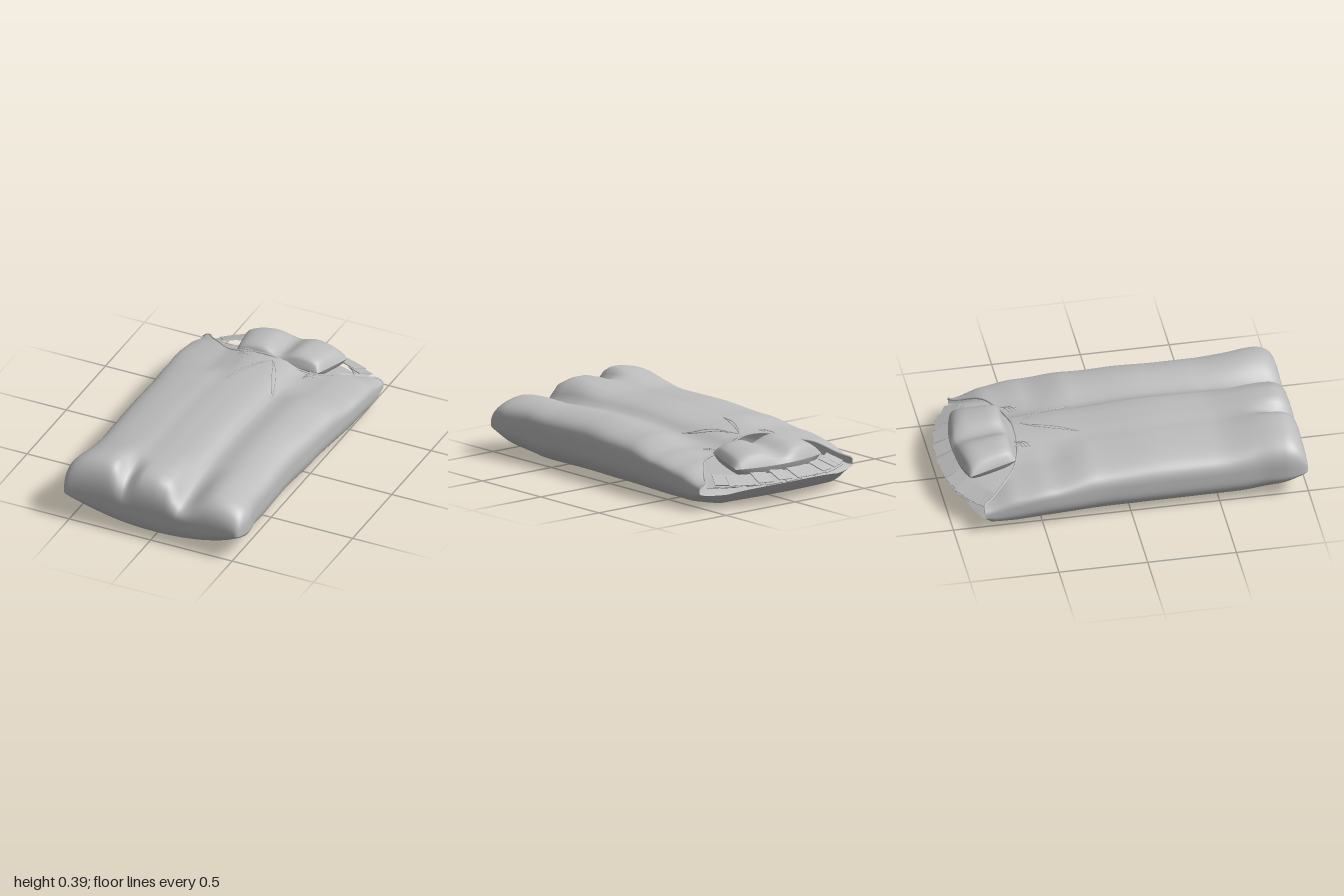
import * as THREE from 'three';
import { mergeVertices } from 'three/addons/utils/BufferGeometryUtils.js';

const { lerp, clamp, smoothstep } = THREE.MathUtils;
const fabric = new THREE.MeshStandardMaterial({ color: 0xbcbcbc, side: THREE.DoubleSide });
fabric.name = 'grey fabric';

// Smooth interpolation through [position, value] pairs in rising order
function along(points, p) {
  if (p <= points[0][0]) return points[0][1];
  for (let i = 1; i < points.length; i++) {
    const [a, va] = points[i - 1], [b, vb] = points[i];
    if (p <= b) return lerp(va, vb, smoothstep(p, a, b));
  }
  return points[points.length - 1][1];
}

// Smooth sheet of nu x nv quads from f(u, v) -> [x, y, z]
function sheet(nu, nv, f) {
  const pos = [], index = [];
  for (let j = 0; j <= nv; j++) for (let i = 0; i <= nu; i++) pos.push(...f(i / nu, j / nv));
  for (let j = 0; j < nv; j++) for (let i = 0; i < nu; i++) {
    const a = j * (nu + 1) + i, d = a + nu + 1;
    index.push(a, a + 1, d, a + 1, d + 1, d);
  }
  let g = new THREE.BufferGeometry();
  g.setAttribute('position', new THREE.Float32BufferAttribute(pos, 3));
  g.setIndex(index);
  g = mergeVertices(g, 1e-5);
  g.computeVertexNormals();
  return g;
}

// Half widths, side seam height and lobe heights along z
const LEFT = [[-0.82, 0.55], [-0.5, 0.565], [0, 0.53], [0.3, 0.512], [0.7, 0.52], [0.9, 0.55]];
const RIGHT = [[-0.82, 0.56], [-0.55, 0.57], [-0.1, 0.545], [0.7, 0.54], [0.9, 0.56]];
const SEAM = [[-0.82, 0.1], [-0.45, 0.16]];
const OUTER = [[-0.83, 0.18], [-0.65, 0.245], [-0.45, 0.265], [-0.2, 0.315], [0.2, 0.338], [0.5, 0.335], [0.85, 0.4]];
const CENTRE = [[-0.6, 0.3], [-0.3, 0.315], [0.2, 0.34], [0.5, 0.335], [0.85, 0.37]];

// Quilted top: three puffy lobes parted by two lengthwise seams
function topHeight(x, z) {
  const foot = smoothstep(z, 0.45, 0.95);
  const groove = (at, w) => Math.exp(-(((x - at) / w) ** 2));
  const side = smoothstep(Math.abs(x), 0.12, 0.32);
  let y = lerp(along(CENTRE, z), along(OUTER, z), side);
  if (x > 0) y -= 0.055 * side * foot;
  y -= groove(0.16, x > 0.16 ? 0.12 : 0.06) * lerp(0.045, 0.125, foot);
  y -= groove(-0.18, 0.045) * lerp(0.006, 0.09, smoothstep(z, 0.7, 0.97));
  return y;
}

// Shell point: a runs round the section, v from the open head end to the foot
function shellPoint(a, v) {
  const c = Math.cos(a), s = Math.sin(a);
  const cx = Math.sign(c) * Math.abs(c) ** 0.65;
  const r = Math.abs(cx);
  const head = s >= 0 ? -0.57 - 0.26 * Math.min(1, r / 0.92) ** 3.1 : -0.95 + 0.12 * r * r;
  const t = Math.max(0, (v - 0.7) / 0.3) * Math.PI / 2;
  const k = v >= 1 ? 0 : Math.cos(t) ** 0.75;
  const z = v < 0.7 ? lerp(head, 0.86, v / 0.7) : 0.86 + 0.135 * Math.sin(t) ** 0.85;
  const x = cx * along(c > 0 ? LEFT : RIGHT, z) * (1 - 0.08 * (1 - k));
  const mid = along(SEAM, z);
  if (s >= 0) return [x, mid + (topHeight(x, z) - mid) * s ** 0.52 * k, z];
  // Underside: flat in the middle, rising at the flanks, the foot corners and the head
  const sy = (-s) ** 0.75;
  const headLift = 0.045 * clamp((-0.65 - z) / 0.3, 0, 1) + 0.06 * (1 - smoothstep(z - head, 0, 0.06));
  const footLift = k * (0.09 * r * r * smoothstep(z, 0.6, 0.98) + 0.03 * smoothstep(z, 0.84, 0.96));
  const y = Math.max(0, mid - mid * 1.18 * sy * k) + (headLift + footLift) * sy;
  return [x, Math.min(y, Math.max(mid, 0.11 * sy)), z];
}

function tube(points, radius, segments = 24) {
  const curve = new THREE.CatmullRomCurve3(points.map(p => new THREE.Vector3(...p)));
  return new THREE.TubeGeometry(curve, segments, radius, 6);
}

export function createModel() {
  const model = new THREE.Group();
  model.name = 'sleepingBag';
  const add = (name, geometry) => {
    const m = new THREE.Mesh(geometry, fabric);
    m.name = name;
    model.add(m);
  };

  // Padded outer shell, open at the head
  add('shell', sheet(128, 90, (u, v) => shellPoint(u * Math.PI * 2, v)));

  // Inner mat showing in the opening, joined to the lower head edge
  add('innerMat', sheet(48, 20, (u, v) => {
    const [x, y, z] = shellPoint(Math.PI * (1 + u), 0);
    const rest = 0.14 - 0.05 * Math.abs(2 * u - 1) ** 6;
    return [x * lerp(0.88, 1, v * v), lerp(rest, y, v ** 7), lerp(-0.3, z, v)];
  }));

  // Rolled hem of the opening
  const hem = [];
  for (let i = 1; i < 24; i++) hem.push(shellPoint(Math.PI * i / 24, 0));
  add('openingHem', tube(hem, 0.006, 60));

  // Frill of overlapping fabric tabs round the head
  const frill = new THREE.Group();
  frill.name = 'frill';
  model.add(frill);
  const tabs = 19;
  for (let i = 0; i < tabs; i++) {
    const a = lerp(-1.35, 1.35, i / (tabs - 1));
    const wobble = Math.sin(i * 2.7);
    const tab = new THREE.Mesh(new THREE.BoxGeometry(0.1, 0.005, 0.1), fabric);
    tab.name = 'frillTab';
    tab.position.set(0.43 * Math.sin(a), 0.15 + 0.008 * wobble, -0.79 - 0.162 * Math.cos(a));
    tab.rotation.set(-0.4, -a * 0.5 + 0.12 * wobble, 0.08 * wobble, 'YXZ');
    frill.add(tab);
  }

  // Pillow: plump halves either side of a middle crease, pinched corners
  for (const up of [1, -1]) {
    add(up > 0 ? 'pillowTop' : 'pillowUnderside', sheet(36, 20, (u, v) => {
      const p = (u * 2 - 1) * up, q = v * 2 - 1;
      const x = p * lerp(0.255, 0.31, (1 + q) / 2) + 0.005;
      const z = lerp(-0.6, -0.865, (1 + q) / 2) - 0.055 * (1 - p * p) * (1 + q) / 2;
      const puff = Math.sqrt(Math.max(0, (1 - p ** 4) * (1 - q ** 4)));
      const crease = Math.exp(-((p / 0.25) ** 2));
      const y = 0.225 - 0.02 * q + up * 0.08 * puff - (up > 0 ? 0.045 * crease * puff : 0);
      return [x, y, z];
    }));
  }

  // Drawstring: two narrow loops hanging over the top
  for (const side of [-1, 1]) {
    for (const bow of [0.01, -0.012]) {
      const pts = [];
      for (let i = 0; i <= 6; i++) {
        const t = i / 6;
        const x = 0.01 + side * (0.15 * t ** 0.8 + bow * Math.sin(Math.PI * t));
        const z = -0.53 + 0.31 * t;
        pts.push([x, topHeight(x, z) + 0.004 + 0.006 * Math.sin(Math.PI * t), z]);
      }
      add('drawstring', tube(pts, 0.0025));
    }
  }

  // Knotted ties at both ends of the hem
  for (const x0 of [-0.17, 0.23]) {
    const y = topHeight(x0, -0.56) + 0.006;
    for (let i = 0; i < 3; i++) {
      const z = -0.57 + i * 0.02, d = 0.028;
      add('hemTie', tube([[x0 - d, y, z + 0.02], [x0, y + 0.01, z], [x0 + d, y, z - 0.02]], 0.003, 8));
    }
    add('hemTie', tube([[x0 - 0.02, y, -0.6], [x0, y + 0.008, -0.56], [x0 + 0.015, y, -0.5]], 0.003, 8));
  }
  return model;
}
